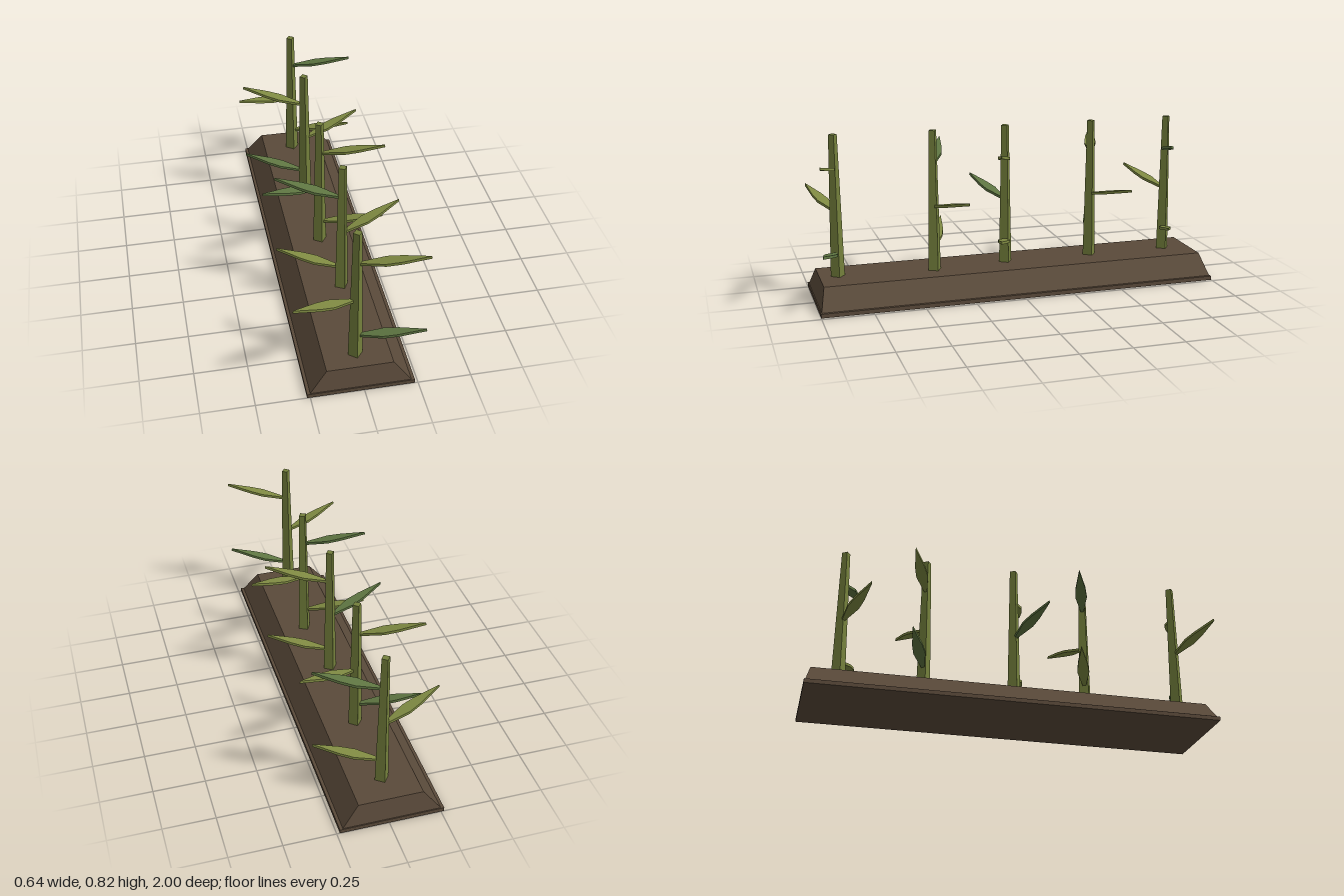
import * as THREE from 'three';

const mat = (name, color) => {
  const m = new THREE.MeshStandardMaterial({ color });
  m.name = name;
  return m;
};

// Box whose top and bottom rectangles differ in size
function taperedBox(w0, d0, w1, d1, y0, y1) {
  const g = new THREE.BoxGeometry(1, 1, 1).toNonIndexed();
  const p = g.attributes.position;
  for (let i = 0; i < p.count; i++) {
    const top = p.getY(i) > 0;
    p.setXYZ(i, p.getX(i) * (top ? w1 : w0), top ? y1 : y0, p.getZ(i) * (top ? d1 : d0));
  }
  g.computeVertexNormals();
  return g;
}

// Flat pointed blade lying along +x from the origin
function bladeGeometry() {
  const s = new THREE.Shape();
  s.moveTo(0.01, -0.006);
  s.lineTo(0.13, -0.029);
  s.lineTo(0.2, -0.024);
  s.lineTo(0.326, -0.001);
  s.lineTo(0.326, 0.001);
  s.lineTo(0.2, 0.024);
  s.lineTo(0.13, 0.029);
  s.lineTo(0.01, 0.006);
  const g = new THREE.ExtrudeGeometry(s, { depth: 0.013, bevelEnabled: false });
  g.translate(0, 0, -0.0065);
  g.rotateX(-Math.PI / 2);
  g.rotateZ(0.23);
  return g;
}

export function createModel() {
  const model = new THREE.Group();
  const soil = mat('soil brown', 0x5a4a3a);
  const stalkGreen = mat('stalk green', 0x74803c);
  const leafOlive = mat('leaf olive', 0x7f8a42);
  const leafGreen = mat('leaf green', 0x5f7642);

  const add = (parent, name, geometry, material) => {
    const m = new THREE.Mesh(geometry, material);
    m.name = name;
    parent.add(m);
    return m;
  };

  // Soil bed
  const bed = new THREE.Group();
  bed.name = 'soilBed';
  bed.position.x = -0.015;
  model.add(bed);
  add(bed, 'soilSlab', taperedBox(0.5, 2, 0.5, 2, 0, 0.02), soil);
  add(bed, 'soilMound', taperedBox(0.47, 1.99, 0.31, 1.94, 0.02, 0.12), soil);

  // Row of plants: [x, z, twist of the stalk]
  const plants = [
    [-0.02, 0.88, 0.1], [0.015, 0.405, 0.3], [-0.02, 0.03, 0.2],
    [-0.015, -0.42, 0.1], [-0.015, -0.83, 0.15],
  ];
  const levels = [0.231, 0.441, 0.648];
  const stalkGeo = new THREE.CylinderGeometry(0.021, 0.035, 0.7, 4).toNonIndexed();
  stalkGeo.computeVertexNormals();
  const blade = bladeGeometry();

  plants.forEach(([x, z, twist], i) => {
    const plant = new THREE.Group();
    plant.name = 'plant' + (i + 1);
    plant.position.set(x, 0, z);
    // Every second plant is turned to face the back
    plant.rotation.y = i % 2 ? Math.PI : 0;
    model.add(plant);

    const stalk = add(plant, 'stalk', stalkGeo, stalkGreen);
    stalk.position.y = 0.47;
    stalk.rotation.y = twist;

    // Leaves alternate sides; one in three is the darker green
    levels.forEach((y, k) => {
      const leaf = add(plant, 'leaf' + (k + 1), blade, (k + i) % 3 === 0 ? leafGreen : leafOlive);
      leaf.position.y = y;
      leaf.rotation.y = k % 2 ? Math.PI + 0.335 : -0.335;
    });
  });

  return model;
}
